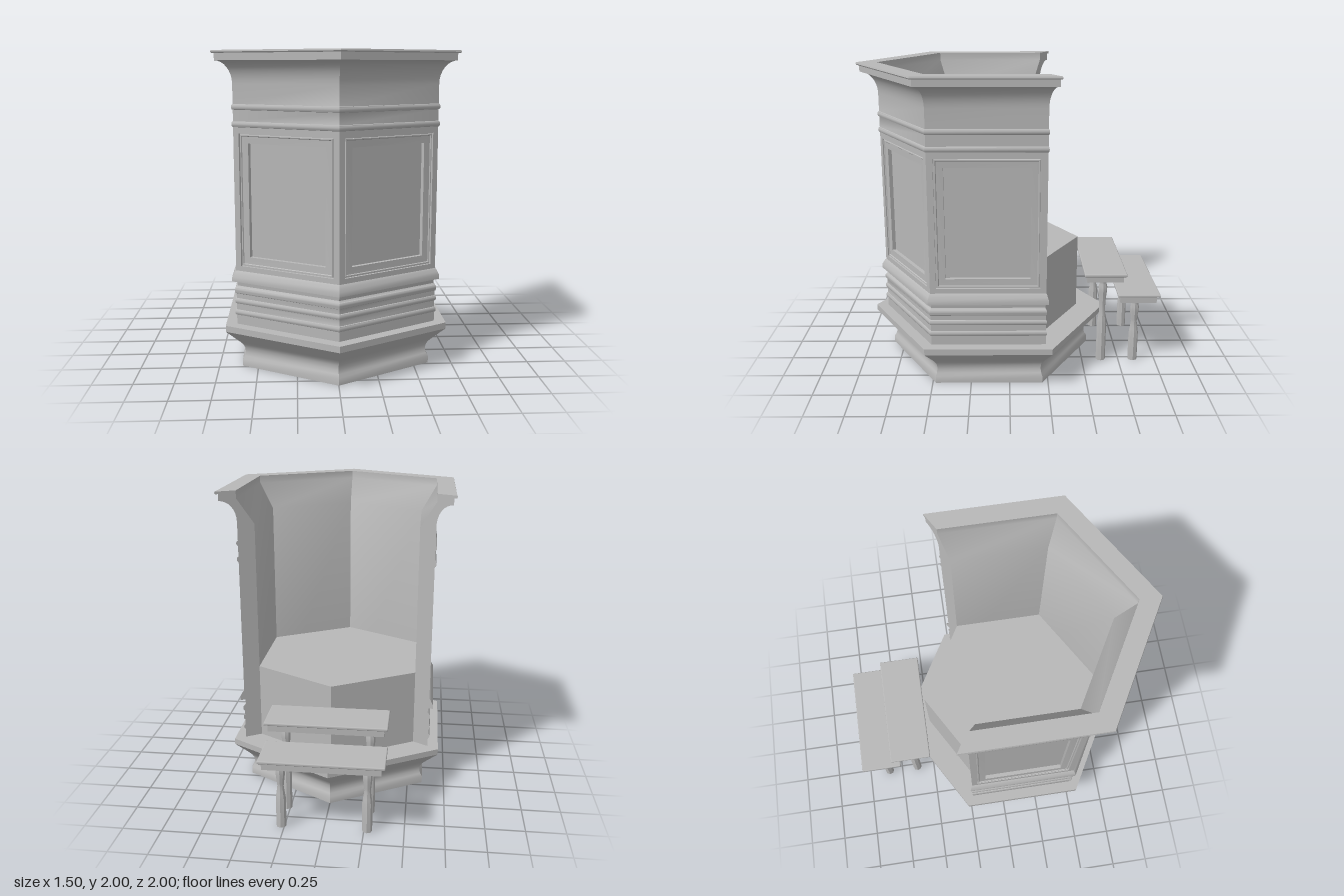
import * as THREE from 'three';
import { toCreasedNormals } from 'three/addons/utils/BufferGeometryUtils.js';
import { RoundedBoxGeometry } from 'three/addons/geometries/RoundedBoxGeometry.js';

const CZ = 0.134; // z of the hexagon's centre
const COS30 = Math.cos(Math.PI / 6);
const WALL = 0.63; // distance from the centre to the outer wall face
const INNER = 0.53;

// Skin a list of equal-length point rings
function loft(rings, closed) {
  const n = rings[0].length, pos = [], index = [];
  rings.forEach(r => r.forEach(p => pos.push(...p)));
  for (let i = 0; i < rings.length - 1; i++) {
    for (let k = 0; k < (closed ? n : n - 1); k++) {
      const a = i * n + k, b = i * n + (k + 1) % n;
      index.push(a, b, b + n, a, b + n, a + n);
    }
  }
  const g = new THREE.BufferGeometry();
  g.setAttribute('position', new THREE.Float32BufferAttribute(pos, 3));
  g.setIndex(index);
  return toCreasedNormals(g, 0.6);
}

// Hexagon corners from k0 to k1; corner 0 points to the front
function hexRing(apothem, y, k0, k1) {
  const r = apothem / COS30, ring = [];
  for (let k = k0; k <= k1; k++) {
    const t = k * Math.PI / 3;
    ring.push([r * Math.sin(t), y, CZ + r * Math.cos(t)]);
  }
  return ring;
}

// Half-round moulding on the wall between two heights
function bead(y0, y1, depth, a = WALL) {
  const pts = [];
  for (let i = 0; i <= 6; i++) {
    const t = i / 6 * Math.PI;
    pts.push([a + depth * Math.sin(t), (y0 + y1) / 2 - (y1 - y0) / 2 * Math.cos(t)]);
  }
  return pts;
}

// Concave sweep under the top rail
function cove(a0, y0, a1, y1) {
  const pts = [];
  for (let i = 0; i <= 8; i++) {
    const t = i / 8 * Math.PI / 2;
    pts.push([a0 + (a1 - a0) * (1 - Math.cos(t)), y0 + (y1 - y0) * Math.sin(t)]);
  }
  return pts;
}

export function createModel() {
  const model = new THREE.Group();
  model.name = 'pulpit';
  const grey = new THREE.MeshStandardMaterial({ color: 0xb8b8b8, side: THREE.DoubleSide });
  grey.name = 'plain grey';
  const add = (geometry, name, parent = model) => {
    const mesh = new THREE.Mesh(geometry, grey);
    mesh.name = name;
    parent.add(mesh);
    return mesh;
  };
  const hexSolid = (profile, name) => add(loft(profile.map(([a, y]) => hexRing(a, y, 0, 5)), true), name);

  // Moulded base and the raised floor
  hexSolid([[0, 0], [0.6, 0], [0.6, 0.045], [0.588, 0.065], [0.581, 0.09], [0.584, 0.12], [0.597, 0.145],
    [0.615, 0.165], [0.7, 0.25], [0.7, 0.29], [0, 0.29]], 'base');
  hexSolid([[INNER, 0.28], [INNER, 0.8], [0, 0.8]], 'floor');

  // Four-sided wall: over the top from the panels, down inside, up to the panels again
  const top0 = 1.53, low1 = 0.64;
  const wall = [
    [WALL, top0], ...bead(1.54, 1.575, 0.01), ...bead(1.645, 1.68, 0.01),
    ...cove(WALL, 1.8, 0.73, 1.94), [0.73, 1.983], [0.745, 1.983], [0.75, 1.99], [0.747, 2],
    [WALL, 2], [WALL, 1.95], [INNER, 1.78], [INNER, 0.28],
    [WALL, 0.28], ...bead(0.35, 0.385, 0.01), [WALL, 0.415], ...bead(0.425, 0.46, 0.01),
    ...bead(0.49, 0.53, 0.01), [0.622, 0.54], [0.626, 0.572], [0.655, 0.572], [0.655, 0.6],
    [0.645, 0.618], [0.638, 0.632], [WALL, low1],
  ];
  add(loft(wall.map(([a, y]) => hexRing(a, y, -2, 2)), false), 'wall');

  // Cut ends of the wall
  const endShape = new THREE.Shape(wall.map(([a, y]) => new THREE.Vector2(a / COS30, y)));
  for (const s of [-1, 1]) {
    const end = add(new THREE.ShapeGeometry(endShape), s > 0 ? 'leftWallEnd' : 'rightWallEnd');
    end.rotation.y = s * Math.PI * 2 / 3 - Math.PI / 2;
    end.position.z = CZ;
  }

  // Framed, recessed panel on each wall face
  const half = WALL * Math.tan(Math.PI / 6);
  const rect = (w, y0, y1) => [[-w, y0], [w, y0], [w, y1], [-w, y1]];
  const toPath = (pts, P) => new P(pts.map(p => new THREE.Vector2(...p)));
  const face = toPath(rect(half, low1, top0), THREE.Shape);
  face.holes.push(toPath(rect(0.325, 0.672, 1.502), THREE.Path));
  const faceGeometry = new THREE.ShapeGeometry(face);
  const steps = [[0, 0], [0, -0.015], [0.006, -0.015], [0.008, -0.004], [0.014, -0.004],
    [0.018, -0.01], [0.06, -0.012], [0.06, -0.037]];
  const rings = steps.map(([d, z]) => rect(0.325 - d, 0.672 + d, 1.502 - d).map(([x, y]) => [x, y, z]));
  rings.push(rings[0].map(() => [0, 1.087, -0.037]));
  const panelGeometry = loft(rings, true);
  for (let k = -2; k < 2; k++) {
    const t = (k + 0.5) * Math.PI / 3;
    const side = new THREE.Group();
    side.name = 'wallFace';
    side.rotation.y = t;
    side.position.set(WALL * Math.sin(t), 0, CZ + WALL * Math.cos(t));
    add(faceGeometry, 'panelSurround', side);
    add(panelGeometry, 'panel', side);
    model.add(side);
  }

  // Two step stools behind, each a board and apron on turned legs
  const stool = (name, z, h, legZ, straight) => {
    const g = new THREE.Group();
    g.name = name;
    add(new RoundedBoxGeometry(0.766, 0.02, 0.28, 2, 0.007), 'stepBoard', g).position.set(0, h - 0.01, z);
    add(new THREE.BoxGeometry(0.72, 0.046, 0.24), 'stepApron', g).position.set(0, h - 0.042, z);
    const t = h - 0.06;
    const leg = [[0, 0], [0.032, 0], [0.032, straight], [0.027, straight + 0.03], [0.02, straight + 0.08],
      [0.022, t - 0.16], [0.029, t - 0.1], [0.03, t - 0.07], [0.024, t - 0.045], [0.024, t - 0.03], [0.032, t - 0.012],
      [0.032, t]].map(p => new THREE.Vector2(...p));
    const legGeometry = toCreasedNormals(new THREE.LatheGeometry(leg, 8), 0.6);
    for (const s of [-1, 1]) add(legGeometry, s > 0 ? 'leftLeg' : 'rightLeg', g).position.set(s * 0.27, 0, legZ);
    model.add(g);
  };
  stool('upperStep', -0.635, 0.665, -0.63, 0.28);
  stool('lowerStep', -0.86, 0.52, -0.85, 0.2);

  return model;
}
